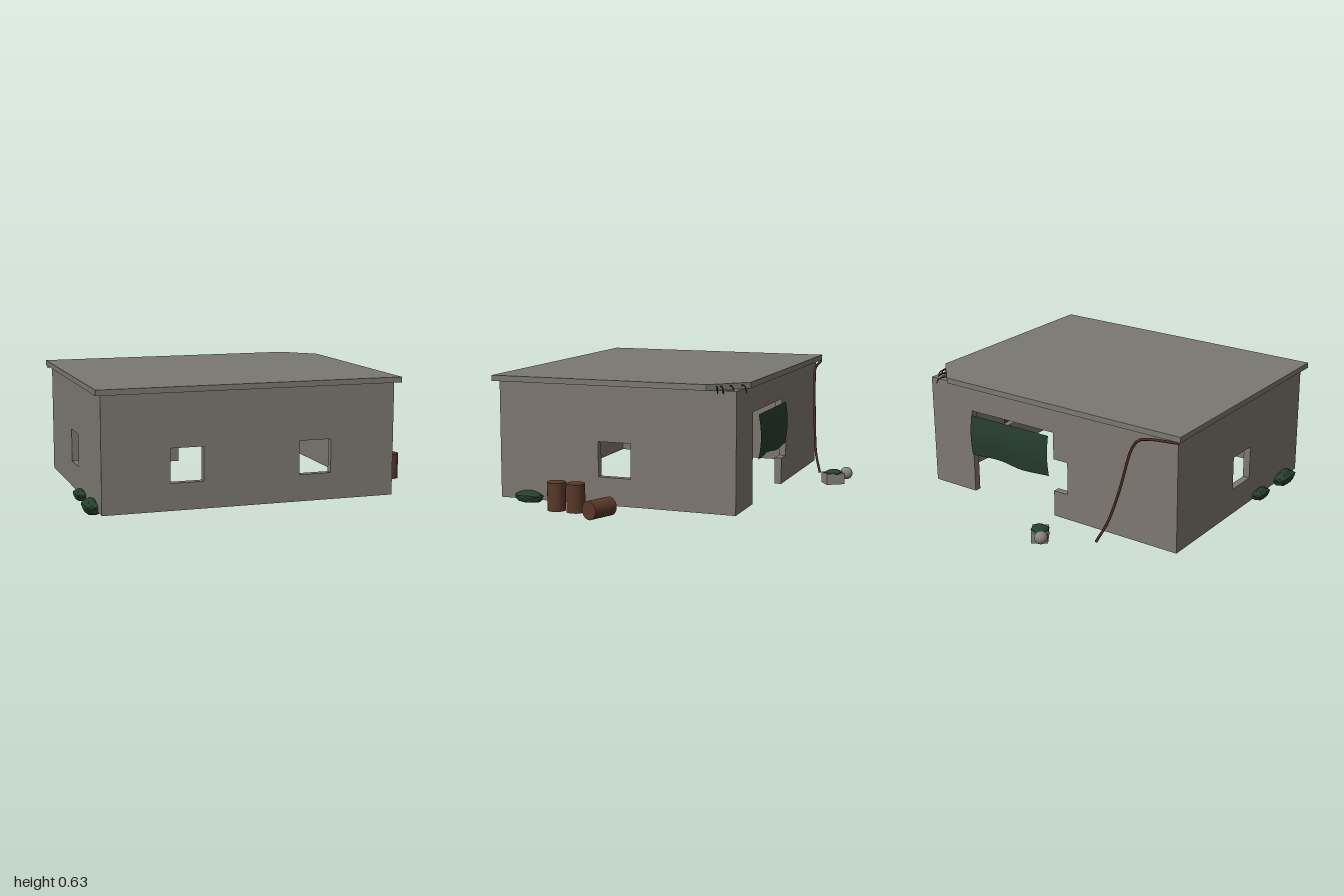
import * as THREE from 'three';

const material = (name, color, side = THREE.FrontSide) => {
  const m = new THREE.MeshStandardMaterial({ color, side });
  m.name = name;
  return m;
};

export function createModel() {
  const model = new THREE.Group();
  const wallGrey = material('wall concrete', 0x7d7870);
  const roofGrey = material('roof concrete', 0x7a7871);
  const rust = material('rusty barrel', 0x5a3828);
  const pipeRust = material('rusty pipe', 0x4c2c20);
  const steel = material('dark steel', 0x2c2622);
  const leaf = material('dark leaves', 0x24402a);
  const cloth = material('green tarp', 0x263c2e, THREE.DoubleSide);
  const stone = material('pale stone', 0x85827c);

  const add = (parent, name, geometry, mat, x = 0, y = 0, z = 0) => {
    const mesh = new THREE.Mesh(geometry, mat);
    mesh.name = name;
    mesh.position.set(x, y, z);
    parent.add(mesh);
    return mesh;
  };
  const polygon = (points) => new THREE.Shape(points.map(([x, y]) => new THREE.Vector2(x, y)));
  const extrude = (shape, depth) => new THREE.ExtrudeGeometry(shape, { depth, bevelEnabled: false });

  // The building stands diagonally
  const house = new THREE.Group();
  house.name = 'building';
  house.rotation.y = 0.729;
  house.position.z = -0.02;
  model.add(house);

  const HX = 0.75, HZ = 0.601, T = 0.036, BASE = 0.03, TOP = 0.605;

  // Walls with square window openings
  const windowedWall = (half, centres) => {
    const shape = polygon([[-half, BASE], [half, BASE], [half, TOP], [-half, TOP]]);
    for (const c of centres) {
      shape.holes.push(polygon([[c - 0.083, 0.165], [c - 0.083, 0.335], [c + 0.083, 0.335], [c + 0.083, 0.165]]));
    }
    return extrude(shape, T);
  };
  add(house, 'longWindowWall', windowedWall(HX, [-0.33, 0.33]), wallGrey, 0, 0, HZ - T);
  for (const s of [-1, 1]) {
    const wall = add(house, 'sideWall', windowedWall(HZ - T, [0]), wallGrey, s * (HX - T), 0, 0);
    wall.rotation.y = s * Math.PI / 2;
  }

  // Broken wall: wide doorway merged with half a window
  add(house, 'doorwayWall', extrude(polygon([
    [-HX, BASE], [-0.033, BASE], [-0.033, 0.165], [-0.117, 0.165], [-0.117, 0.335], [-0.033, 0.335],
    [-0.033, 0.475], [0.485, 0.475], [0.485, BASE], [HX, BASE], [HX, TOP], [-HX, TOP],
  ]), T), wallGrey, 0, 0, -HZ);

  // Flat roof slab with one corner broken off
  const roof = extrude(polygon([
    [-0.778, -0.629], [0.778, -0.629], [0.778, 0.465], [0.73, 0.518], [0.69, 0.555], [0.62, 0.629], [-0.778, 0.629],
  ]), 0.028);
  roof.rotateX(-Math.PI / 2);
  add(house, 'roof', roof, roofGrey, 0, TOP, 0);

  // Tarp hanging in the doorway, slightly billowed
  const tarp = new THREE.PlaneGeometry(0.49, 0.215, 12, 5);
  const tp = tarp.attributes.position;
  for (let i = 0; i < tp.count; i++) {
    const x = tp.getX(i), drop = 0.5 - tp.getY(i) / 0.215;
    tp.setZ(i, -0.012 * Math.sin(drop * Math.PI) + 0.004 * Math.sin(x * 25) * drop);
    tp.setY(i, tp.getY(i) + 0.007 * Math.sin(x * 14) * drop);
  }
  tarp.computeVertexNormals();
  add(house, 'tarp', tarp, cloth, 0.225, 0.355, -0.624);

  const tube = (name, points, radius, mat) => {
    const curve = new THREE.CatmullRomCurve3(points.map((p) => new THREE.Vector3(...p)), false, 'centripetal');
    add(model, name, new THREE.TubeGeometry(curve, 24, radius, 6), mat);
  };

  // Bent reinforcement bars at the broken corner
  for (const [x, z, reach] of [[0.09, -0.89, 0.06], [0.15, -0.88, 0.06], [0.2, -0.88, 0.05], [0.22, -0.88, 0.03]]) {
    tube('rebar', [[x, 0.619, z + 0.02], [x, 0.621, z - reach * 0.5], [x + 0.004, 0.61, z - reach * 0.85],
      [x + 0.006, 0.59, z - reach]], 0.003, steel);
  }

  // Loose drainpipe hanging from the eave
  tube('drainpipe', [[-0.993, 0.6, 0.03], [-0.88, 0.588, -0.09], [-0.845, 0.572, -0.125], [-0.826, 0.53, -0.15],
    [-0.795, 0.3, -0.205], [-0.772, 0.135, -0.255], [-0.762, 0.035, -0.31]], 0.007, pipeRust);

  // Barrels: two standing, one lying
  const barrel = new THREE.CylinderGeometry(0.044, 0.044, 0.135, 18);
  add(model, 'standingBarrel', barrel, rust, 0.77, 0.0975, -0.545);
  add(model, 'standingBarrel', barrel, rust, 0.835, 0.0975, -0.47);
  const lying = add(model, 'lyingBarrel', barrel, rust, 0.725, 0.074, -0.708);
  lying.quaternion.setFromUnitVectors(new THREE.Vector3(0, 1, 0), new THREE.Vector3(0.94, 0, -0.34).normalize());

  // Shrubs: flattened, lumpy spheres
  const shrub = (name, parent, x, y, z, rx, ry, rz) => {
    const g = new THREE.IcosahedronGeometry(1, 2);
    const p = g.attributes.position;
    for (let i = 0; i < p.count; i++) {
      const k = 1 + 0.1 * Math.sin(p.getX(i) * 5 + x * 30) * Math.cos(p.getZ(i) * 4) + 0.06 * Math.sin(p.getY(i) * 7);
      p.setXYZ(i, p.getX(i) * k * rx, p.getY(i) * k * ry, p.getZ(i) * k * rz);
    }
    g.computeVertexNormals();
    add(parent, name, g, leaf, x, y, z);
  };
  shrub('shrub', house, -0.765, 0.043, 0.44, 0.045, 0.04, 0.085);
  shrub('shrub', house, -0.765, 0.045, 0.185, 0.035, 0.03, 0.065);
  shrub('shrub', house, 0.755, 0.045, 0.446, 0.05, 0.03, 0.07);

  // Mossy block with a round stone beside it
  const block = add(model, 'stoneBlock', new THREE.BoxGeometry(0.095, 0.055, 0.08), stone, -0.668, 0.06, -0.562);
  block.rotation.y = -0.25;
  shrub('moss', model, -0.668, 0.085, -0.562, 0.05, 0.02, 0.042);
  add(model, 'roundStone', new THREE.SphereGeometry(0.032, 16, 12), stone, -0.745, 0.08, -0.572);

  return model;
}
